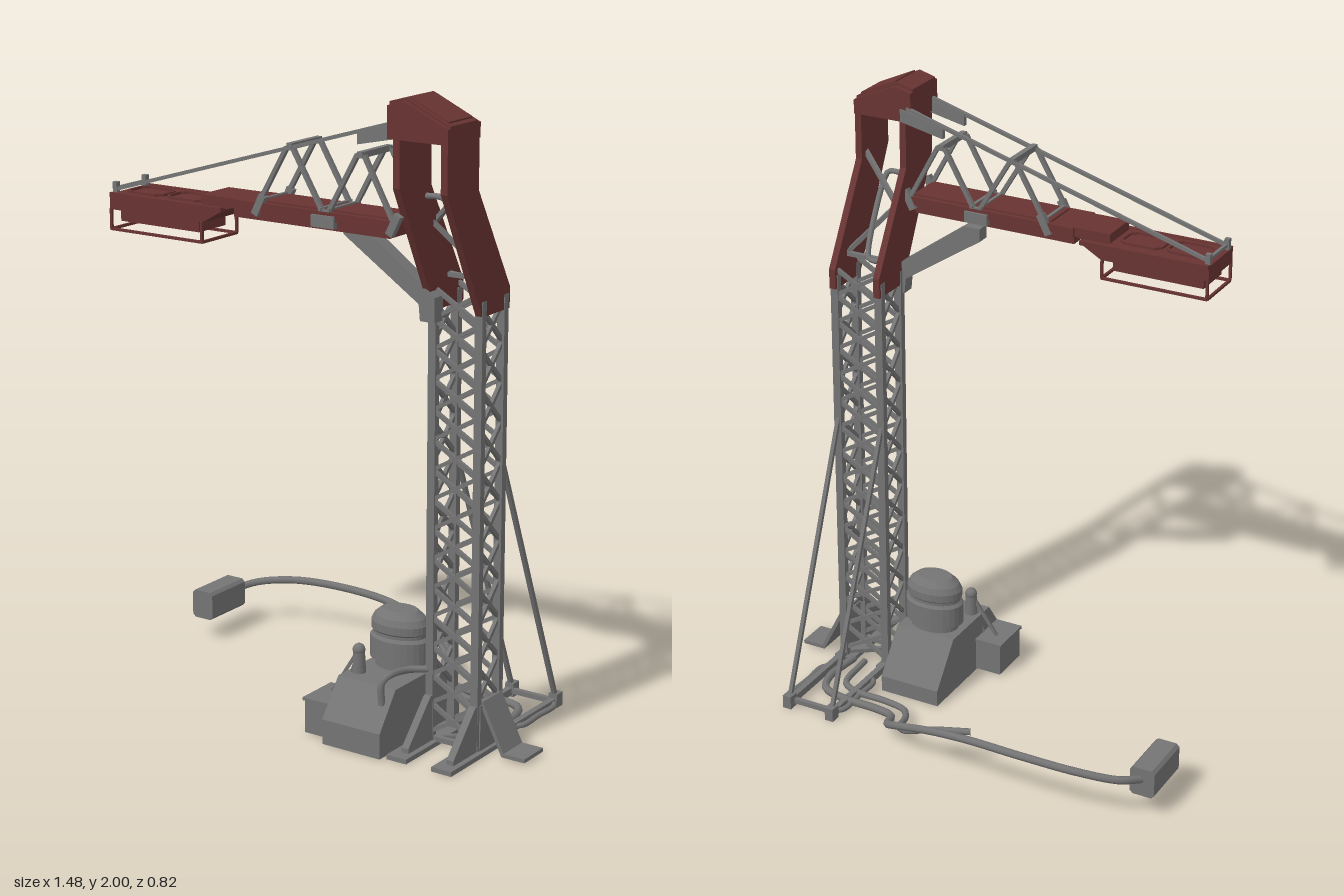
import * as THREE from 'three';

const mat = (name, color) => new THREE.MeshStandardMaterial({ name, color });
const V = (p) => new THREE.Vector3(...p);

export function createModel() {
  const grey = mat('steel grey', 0x747474);
  const red = mat('oxide red', 0x683432);
  const model = new THREE.Group();

  const group = (name) => {
    const g = new THREE.Group();
    g.name = name;
    model.add(g);
    return g;
  };
  const add = (parent, name, geo, m = grey) => {
    const mesh = new THREE.Mesh(geo, m);
    mesh.name = name;
    parent.add(mesh);
    return mesh;
  };
  // box given by its limits on each axis
  const box = (parent, name, [x0, x1], [y0, y1], [z0, z1], m = grey) =>
    add(parent, name, new THREE.BoxGeometry(x1 - x0, y1 - y0, z1 - z0)
      .translate((x0 + x1) / 2, (y0 + y1) / 2, (z0 + z1) / 2), m);
  // square bar between two points
  const bar = (parent, name, a, b, w = 0.012, h = w, m = grey) => {
    const p = V(a), q = V(b);
    const mesh = add(parent, name, new THREE.BoxGeometry(w, h, p.distanceTo(q)), m);
    mesh.position.copy(p).lerp(q, 0.5);
    mesh.lookAt(q);
    return mesh;
  };
  const tube = (parent, name, pts, r, n = 48, m = grey) =>
    add(parent, name, new THREE.TubeGeometry(new THREE.CatmullRomCurve3(pts.map(V), false, 'centripetal'), n, r, 8), m);
  const shape = (pts) => new THREE.Shape(pts.map(([a, b]) => new THREE.Vector2(a, b)));
  // (x, y) outline extruded through z
  const slabZ = (parent, name, pts, z0, z1, m = grey) =>
    add(parent, name, new THREE.ExtrudeGeometry(shape(pts), { depth: z1 - z0, bevelEnabled: false }).translate(0, 0, z0), m);
  // (z, y) outline extruded through x
  const slabX = (parent, name, pts, x0, x1, m = grey) =>
    add(parent, name, new THREE.ExtrudeGeometry(shape(pts), { depth: x1 - x0, bevelEnabled: false })
      .rotateY(-Math.PI / 2).translate(x1, 0, 0), m);

  const postX = [0.415, 0.575], postZ = [0.08, 0.2];

  // Lattice tower
  const tower = group('latticeTower');
  const lattice = (name, a, b, y0, y1, n) => {
    const s = (y1 - y0) / n;
    for (let i = 0; i < n; i++) {
      const y = y0 + i * s;
      bar(tower, name, [a[0], y, a[1]], [b[0], y + s, b[1]], 0.012);
      bar(tower, name, [b[0], y, b[1]], [a[0], y + s, a[1]], 0.012);
    }
  };
  for (const x of postX) {
    for (const z of postZ) box(tower, 'towerPost', [x - 0.013, x + 0.013], [0, 1.4], [z - 0.011, z + 0.011]);
    lattice('sideLattice', [x, postZ[0]], [x, postZ[1]], 0.16, 1.38, 10);
  }
  for (const z of postZ) lattice('crossLattice', [postX[0], z], [postX[1], z], 0.04, 1.42, 15);

  // Bent upper columns with bracing between them
  const head = group('upperFrame');
  const bend = [[0.21, 1.355], [0.06, 1.355], [0.06, 1.42], [0.236, 1.73], [0.236, 1.9], [0.4, 1.9], [0.4, 1.74]];
  for (const x of postX) slabX(head, 'bentColumn', bend, x - 0.011, x + 0.011, red);
  bar(head, 'upperBrace', [0.42, 1.62, 0.2], [0.57, 1.75, 0.27], 0.014);
  bar(head, 'upperBrace', [0.42, 1.62, 0.22], [0.57, 1.45, 0.14], 0.014);
  bar(head, 'upperBrace', [0.42, 1.45, 0.14], [0.57, 1.45, 0.14], 0.014);
  tube(head, 'upperPipe', [[0.42, 1.7, 0.26], [0.48, 1.7, 0.26], [0.49, 1.68, 0.25], [0.49, 1.47, 0.14], [0.48, 1.45, 0.13], [0.42, 1.45, 0.13]], 0.009, 30);

  // Hollow cap, open underneath
  slabZ(head, 'capRoof', [[0.385, 1.88], [0.4, 1.88], [0.4, 1.975], [0.437, 1.982], [0.57, 1.918],
    [0.57, 1.88], [0.588, 1.88], [0.588, 1.932], [0.44, 2], [0.385, 1.985]], 0.25, 0.39, red);
  const capSide = [[0.385, 1.88], [0.588, 1.88], [0.588, 1.925], [0.44, 1.99], [0.385, 1.975]];
  for (const z of [0.234, 0.386]) slabZ(head, 'capSide', capSide, z, z + 0.016, red);
  slabZ(head, 'capRoofPanel', [[0.45, 1.994], [0.575, 1.936], [0.577, 1.943], [0.452, 2]], 0.26, 0.38, red);

  // Boom
  const boom = group('boom');
  box(boom, 'boomFlange', [-0.18, 0.39], [1.615, 1.642], [0.23, 0.382], red);
  box(boom, 'boomWeb', [-0.18, 0.375], [1.588, 1.615], [0.24, 0.372], red);
  slabZ(boom, 'boomNeck', [[-0.3, 1.612], [-0.23, 1.6], [-0.18, 1.615], [-0.18, 1.642], [-0.3, 1.642]], 0.24, 0.374, red);
  box(boom, 'boomTopPlate', [-0.1, 0.38], [1.642, 1.648], [0.245, 0.367], red);

  // Boom end housing with tray and guard frame
  slabZ(boom, 'endHousing', [[-0.635, 1.562], [-0.28, 1.562], [-0.21, 1.602], [-0.21, 1.61], [-0.635, 1.61]], 0.222, 0.396, red);
  for (const z of [0.216, 0.388]) bar(boom, 'housingRail', [-0.635, 1.607, z + 0.004], [-0.21, 1.607, z + 0.004], 0.012, 0.014, red);
  box(boom, 'tray', [-0.61, -0.31], [1.525, 1.562], [0.245, 0.375], red);
  for (const x of [-0.54, -0.387]) {
    const w = 0.07, c = 0.02, h = 0.05;
    const oct = [[-w, -h + c], [-w + c, -h], [w - c, -h], [w, -h + c], [w, h - c], [w - c, h], [-w + c, h], [-w, h - c]];
    const rim = shape(oct);
    rim.holes.push(new THREE.Path(oct.map(([a, b]) => new THREE.Vector2(a * 0.91, b * 0.88))));
    add(boom, 'hatchRim', new THREE.ExtrudeGeometry(rim, { depth: 0.008, bevelEnabled: false })
      .rotateX(-Math.PI / 2).translate(x, 1.61, 0.31), red);
  }
  for (const z of [0.226, 0.396]) {
    bar(boom, 'guardRail', [-0.632, 1.502, z], [-0.28, 1.502, z], 0.008, 0.008, red);
    for (const x of [-0.63, -0.282]) bar(boom, 'guardPost', [x, 1.502, z], [x, 1.565, z], 0.008, 0.008, red);
  }
  for (const x of [-0.63, -0.282]) bar(boom, 'guardEnd', [x, 1.502, 0.226], [x, 1.502, 0.396], 0.008, 0.008, red);

  // Boom truss and tie rods on both sides
  const truss = group('boomTruss');
  const zig = [[-0.09, 1.63], [0.018, 1.815], [0.04, 1.815], [0.145, 1.64], [0.165, 1.64], [0.267, 1.82], [0.29, 1.82], [0.395, 1.63]];
  for (const z of [0.237, 0.375]) {
    for (let i = 0; i < zig.length - 1; i++) bar(truss, 'trussBar', [...zig[i], z], [...zig[i + 1], z], 0.013);
    bar(truss, 'tieRod', [-0.625, 1.622, z], [0.4, 1.925, z], 0.011);
    box(truss, 'tiePost', [-0.634, -0.618], [1.6, 1.645], [z - 0.008, z + 0.008]);
    for (const [x, y] of [[-0.085, 1.625], [0.39, 1.62]]) bar(truss, 'trussFoot', [x - 0.012, y - 0.02, z], [x + 0.018, y + 0.04, z], 0.02, 0.024);
    slabZ(truss, 'tieBracket', [[0.27, 1.85], [0.42, 1.882], [0.42, 1.922], [0.27, 1.888]], z - 0.008, z + 0.008);
  }
  for (const x of [0.03, 0.278]) bar(truss, 'trussCrossbar', [x, 1.82, 0.23], [x, 1.82, 0.382], 0.018);
  for (const x of [-0.08, 0.14, 0.17]) bar(truss, 'boomStrap', [x, 1.648, 0.226], [x, 1.648, 0.386], 0.01);
  bar(truss, 'tieCrossbar', [-0.625, 1.625, 0.23], [-0.625, 1.625, 0.382], 0.01);
  box(truss, 'boomCollar', [0.112, 0.192], [1.596, 1.632], [0.222, 0.39]);

  // Knee brace below the boom
  slabZ(truss, 'kneeBrace', [[0.125, 1.55], [0.39, 1.375], [0.395, 1.325], [0.445, 1.325], [0.445, 1.4],
    [0.42, 1.42], [0.18, 1.592], [0.125, 1.592]], 0.2, 0.244);

  // Tower feet
  const base = group('towerBase');
  for (const x of postX) {
    box(base, 'footPlate', [x - 0.04, x + 0.03], [0, 0.015], [0.06, 0.38]);
    slabX(base, 'footGusset', [[0.2, 0.015], [0.34, 0.015], [0.34, 0.03], [0.22, 0.16], [0.2, 0.16]], x - 0.012, x + 0.012);
    bar(base, 'rearRail', [x, 0.018, 0.08], [x, 0.018, -0.285], 0.02, 0.024);
    bar(base, 'guyRod', [x, 0.9, 0.075], [x, 0.03, -0.27], 0.013);
    box(base, 'guyAnchor', [x - 0.015, x + 0.015], [0, 0.045], [-0.29, -0.255]);
    const s = x < 0.5 ? -1 : 1, e = 0.495 + s * 0.1;
    tube(base, 'sideLoop', [[x, 0.018, -0.25], [e, 0.018, -0.23], [e, 0.018, -0.13], [e, 0.018, -0.04], [x, 0.018, -0.02]], 0.009, 30);
  }
  bar(base, 'rearCrossbar', [0.4, 0.02, -0.26], [0.59, 0.02, -0.26], 0.016);
  bar(base, 'frontCrossbar', [0.4, 0.02, 0.2], [0.59, 0.02, 0.2], 0.016);
  bar(base, 'baseDiagonal', [0.42, 0.02, 0.2], [0.57, 0.02, 0.09], 0.014);
  slabZ(base, 'sideOutrigger', [[0.585, 0.17], [0.592, 0.17], [0.667, 0.02], [0.74, 0.02], [0.74, 0.008], [0.66, 0.008], [0.585, 0.155]], 0.08, 0.188);
  box(base, 'sidePlate', [0.58, 0.592], [0, 0.16], [0.08, 0.2]);

  // Pump unit: sloped housing, side cabinet and oval motor
  const pump = group('pumpUnit');
  slabX(pump, 'pumpHousing', [[0.395, 0], [-0.045, 0], [-0.045, 0.055], [0.065, 0.195], [0.31, 0.195], [0.395, 0.08]].reverse(), 0.15, 0.36);
  box(pump, 'sideCabinet', [0.06, 0.15], [0.005, 0.115], [0.22, 0.36]);
  box(pump, 'cabinetLid', [0.055, 0.15], [0.11, 0.12], [0.215, 0.365]);
  const motorProfile = [[0.082, 0.19], [0.082, 0.215], [0.1, 0.22], [0.1, 0.29], [0.09, 0.3], [0.09, 0.31], [0.096, 0.315],
    [0.096, 0.34], [0.085, 0.36], [0.06, 0.38], [0, 0.382]];
  const motor = new THREE.LatheGeometry(motorProfile.map(([r, y]) => new THREE.Vector2(r, y)), 28).toNonIndexed();
  motor.computeVertexNormals();
  add(pump, 'motor', motor.scale(1, 1, 0.72).translate(0.255, 0, 0.13));
  add(pump, 'valve', new THREE.CylinderGeometry(0.018, 0.022, 0.08, 12).translate(0.185, 0.23, 0.25));
  add(pump, 'valveCap', new THREE.SphereGeometry(0.02, 12, 8).translate(0.185, 0.268, 0.25));
  for (const x of [0.1, 0.15]) bar(pump, 'valveLink', [x, 0.12, 0.27], [0.18, 0.26, 0.25], 0.01);
  tube(pump, 'pumpPipe', [[0.33, 0.15, 0.34], [0.33, 0.22, 0.34], [0.34, 0.238, 0.32], [0.36, 0.238, 0.24], [0.41, 0.238, 0.2]], 0.011, 24);

  // Ground hoses and end box
  const hoses = group('hoses');
  tube(hoses, 'longHose', [[-0.7, 0.125, -0.28], [-0.65, 0.142, -0.345], [-0.53, 0.16, -0.39], [-0.35, 0.168, -0.405],
    [-0.15, 0.162, -0.395], [0, 0.135, -0.37], [0.13, 0.09, -0.33], [0.2, 0.05, -0.28], [0.235, 0.025, -0.2],
    [0.3, 0.02, -0.18], [0.43, 0.02, -0.175], [0.51, 0.02, -0.15], [0.54, 0.02, -0.08], [0.53, 0.02, 0.06]], 0.013, 90);
  tube(hoses, 'shortHose', [[-0.12, 0.13, -0.305], [0, 0.115, -0.33], [0.1, 0.085, -0.335], [0.15, 0.06, -0.29], [0.18, 0.035, -0.2],
    [0.225, 0.02, -0.14], [0.3, 0.02, -0.125], [0.41, 0.02, -0.12], [0.47, 0.02, -0.09], [0.488, 0.02, 0.06]], 0.011, 70);
  const w = 0.041, h = 0.048, c = 0.01;
  slabZ(hoses, 'hoseEndBox', [[-w, -h + c], [-w + c, -h], [w - c, -h], [w, -h + c], [w, h - c], [w - c, h], [-w + c, h], [-w, h - c]]
    .map(([a, b]) => [a - 0.703, b + 0.118]), -0.29, -0.11);

  return model;
}
